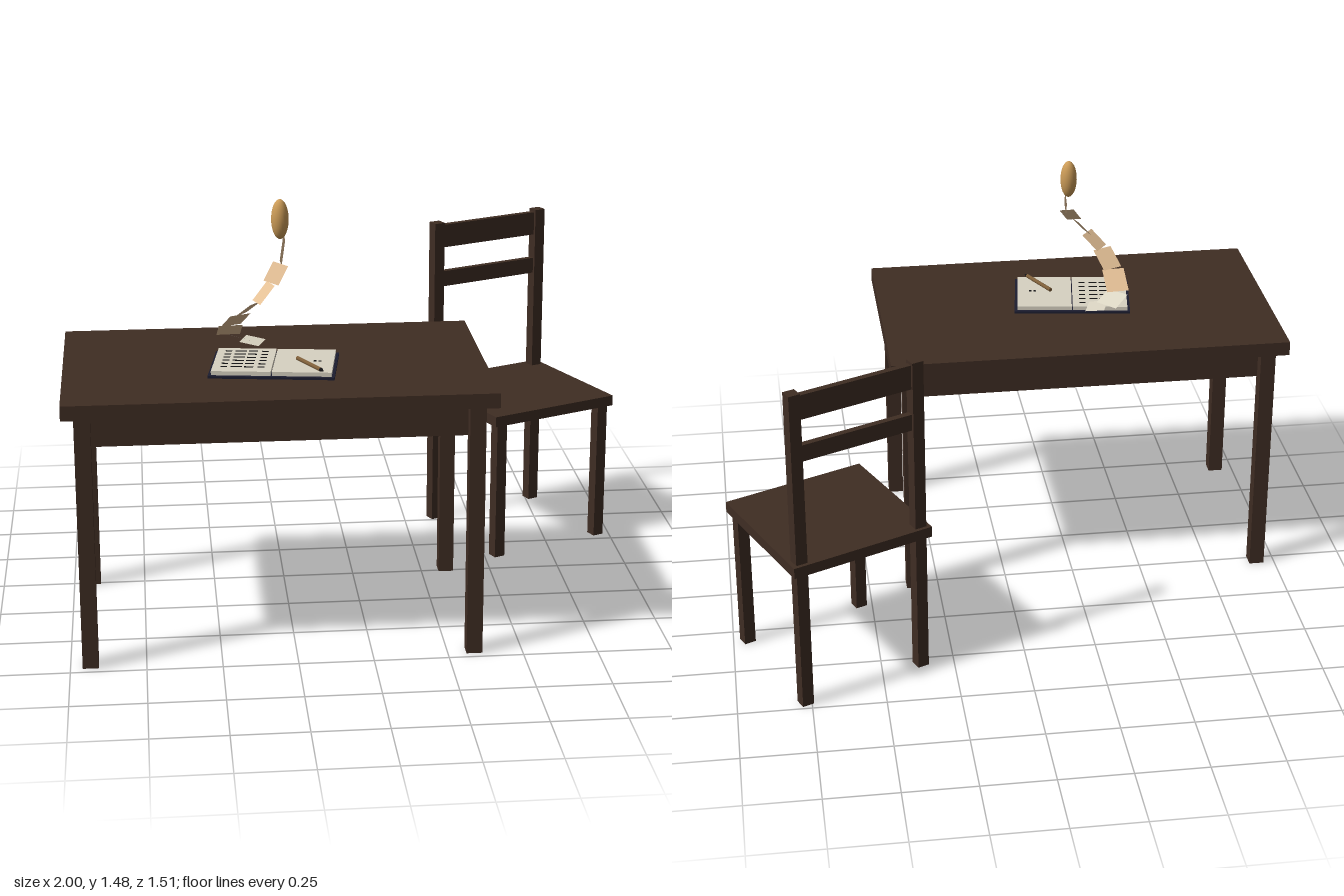
import * as THREE from 'three';

const mat = (name, color, side = THREE.FrontSide) => {
  const m = new THREE.MeshStandardMaterial({ color, side });
  m.name = name;
  return m;
};

export function createModel() {
  const wood = mat('dark wood', 0x3f2d23);
  const navy = mat('navy cover', 0x1c1d30);
  const paper = mat('paper', 0xd8d2c2);
  const ink = mat('ink', 0x141416);
  const penWood = mat('pen brown', 0x80603a);
  const gold = mat('gold', 0xcc9c58);
  const looseSheet = mat('loose paper', 0xdcd6c4, THREE.DoubleSide);
  const tan = mat('tan', 0xe4c096, THREE.DoubleSide);

  const model = new THREE.Group();
  model.name = 'writingDesk';
  const group = (name, x, y, z, turn = 0) => {
    const g = new THREE.Group();
    g.name = name;
    g.position.set(x, y, z);
    g.rotation.y = turn;
    model.add(g);
    return g;
  };
  const add = (parent, name, geo, material, x, y, z) => {
    const m = new THREE.Mesh(geo, material);
    m.name = name;
    m.position.set(x, y, z);
    parent.add(m);
    return m;
  };
  // Box given by its size, centre in x and z, and underside height
  const box = (parent, name, w, h, d, x, y, z, material) =>
    add(parent, name, new THREE.BoxGeometry(w, h, d), material, x, y + h / 2, z);

  // Table
  const table = group('table', -0.2975, 0, 0.34);
  box(table, 'tableTop', 1.405, 0.05, 0.83, 0, 0.87, 0, wood);
  for (const s of [-1, 1]) {
    box(table, 'longApron', 1.225, 0.115, 0.02, 0, 0.755, s * 0.328, wood);
    box(table, 'shortApron', 0.02, 0.115, 0.615, s * 0.615, 0.755, 0, wood);
    for (const t of [-1, 1]) box(table, 'tableLeg', 0.053, 0.87, 0.053, s * 0.636, 0, t * 0.356, wood);
  }

  // Chair, turned away from the table
  const chair = group('chair', 0.658, 0, -0.42, 0.418);
  box(chair, 'seat', 0.514, 0.038, 0.51, 0, 0.513, 0, wood);
  for (const s of [-1, 1]) {
    box(chair, 'frontLeg', 0.041, 0.513, 0.041, s * 0.221, 0, 0.222, wood);
    box(chair, 'backPost', 0.041, 1.166, 0.041, s * 0.222, 0, -0.222, wood);
  }
  box(chair, 'upperRail', 0.41, 0.086, 0.022, 0, 1.07, -0.222, wood);
  box(chair, 'lowerRail', 0.41, 0.058, 0.022, 0, 0.92, -0.222, wood);

  // Open book
  const book = group('book', -0.3, 0.92, 0.4, -0.142);
  box(book, 'cover', 0.416, 0.008, 0.281, 0, 0, 0, navy);
  for (const s of [-1, 1]) box(book, 'pages', 0.196, 0.014, 0.258, s * 0.1, 0.008, 0, paper);

  // Written lines on the left page, two marks on the right one
  for (let row = 0; row < 6; row++) {
    for (let word = 0; word < 4; word++) {
      const w = 0.022 + 0.008 * ((row * 3 + word * 2) % 3);
      box(book, 'writing', w, 0.002, 0.005, -0.16 + word * 0.041, 0.022, -0.095 + row * 0.035, ink);
    }
  }
  for (const x of [0.136, 0.152]) box(book, 'inkMark', 0.009, 0.002, 0.007, x, 0.022, 0.004, ink);

  // Pen lying across the right page
  const pen = group('pen', -0.19, 0.95, 0.476);
  pen.rotation.set(0, 0.456, 0);
  add(pen, 'penBody', new THREE.CylinderGeometry(0.007, 0.007, 0.15, 8), penWood, 0, 0, 0).rotation.x = Math.PI / 2;
  add(pen, 'penTip', new THREE.ConeGeometry(0.007, 0.02, 8), ink, 0, 0, 0.085).rotation.x = Math.PI / 2;

  // Spiral of loose sheets rising from the book
  const path = [
    [-0.33, 0.955, 0.24], [-0.395, 0.965, 0.217], [-0.446, 0.995, 0.265],
    [-0.44, 1.05, 0.345], [-0.41, 1.105, 0.41], [-0.36, 1.155, 0.448],
    [-0.31, 1.215, 0.43], [-0.275, 1.27, 0.39], [-0.258, 1.345, 0.33],
  ].map((p) => new THREE.Vector3(...p));
  const widths = [0.085, 0.085, 0.08, 0.075, 0.07, 0.065, 0.055, 0.045];
  const rolls = [0, 0, 0, 0, 0, 0, 0.3, 1.6];
  const spiral = group('sheetSpiral', 0, 0, 0);
  widths.forEach((w, i) => {
    const along = path[i + 1].clone().sub(path[i]);
    const length = along.length() * 0.98;
    along.normalize();
    const side = along.clone().cross(new THREE.Vector3(0, 1, 0)).normalize();
    side.applyAxisAngle(along, rolls[i]);
    const normal = side.clone().cross(along);
    const c = path[i].clone().lerp(path[i + 1], 0.5);
    const sheet = add(spiral, 'sheet', new THREE.PlaneGeometry(w, length), i < 2 ? looseSheet : tan, c.x, c.y, c.z);
    sheet.quaternion.setFromRotationMatrix(new THREE.Matrix4().makeBasis(side, along, normal));
  });

  // Egg-shaped head of the spiral
  add(spiral, 'head', new THREE.SphereGeometry(1, 24, 16), gold, -0.273, 1.408, 0.342).scale.set(0.029, 0.067, 0.029);

  return model;
}
